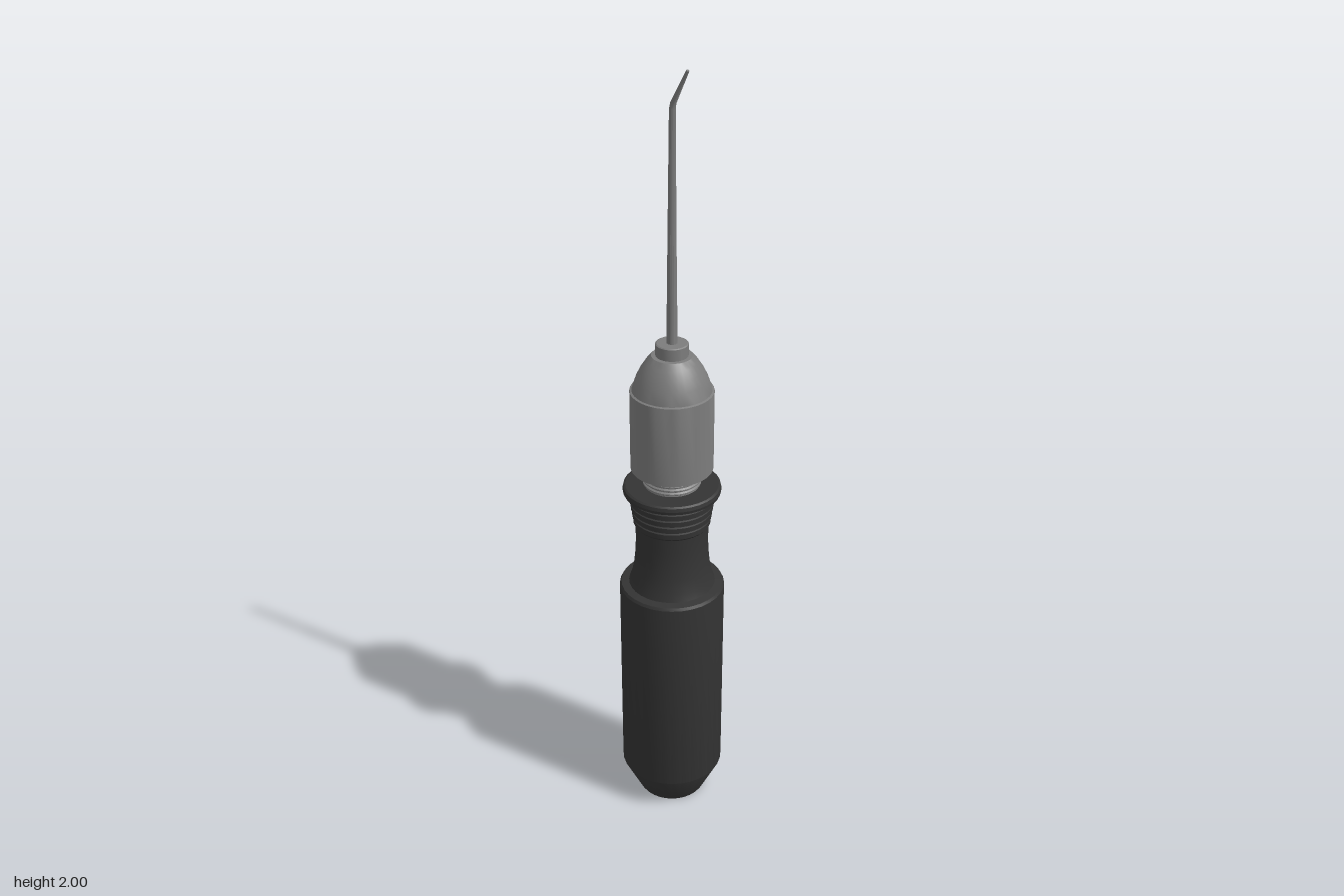
import * as THREE from 'three';
import { toCreasedNormals } from 'three/addons/utils/BufferGeometryUtils.js';

const SIDES = 32;

export function createModel() {
  const model = new THREE.Group();
  model.name = 'angledPick';

  const rubber = new THREE.MeshStandardMaterial({ color: 0x343434 });
  rubber.name = 'blackRubber';
  const steel = new THREE.MeshStandardMaterial({ color: 0x7c7c7c });
  steel.name = 'greySteel';

  // Turned part from [radius, height] pairs, listed bottom to top
  function turn(name, profile, material) {
    const points = profile.map(([r, y]) => new THREE.Vector2(r, y));
    const geometry = toCreasedNormals(new THREE.LatheGeometry(points, SIDES), 0.45);
    const mesh = new THREE.Mesh(geometry, material);
    mesh.name = name;
    model.add(mesh);
  }

  // Handle: bevelled foot, straight grip, waisted neck
  const handle = [
    [0, 0], [0.088, 0], [0.092, 0.006], [0.135, 0.095], [0.135, 0.665], [0.131, 0.672],
    [0.111, 0.675], [0.104, 0.695], [0.097, 0.73], [0.093, 0.77], [0.092, 0.81], [0.094, 0.85],
  ];
  // Finger grooves below the flange
  for (let i = 0; i < 4; i++) {
    const y = 0.855 + i * 0.02;
    const r = 0.098 + i * 0.003;
    handle.push([r, y], [r + 0.001, y + 0.014], [r - 0.004, y + 0.016], [r - 0.004, y + 0.019]);
  }
  // Flange
  handle.push([0.112, 0.936], [0.122, 0.942], [0.124, 0.95], [0.122, 0.959], [0.117, 0.962], [0, 0.962]);
  turn('handle', handle, rubber);

  // Threaded collar between handle and chuck
  const thread = [[0.07, 0.955]];
  for (let i = 0; i < 5; i++) {
    const y = 0.965 + i * 0.01;
    thread.push([0.069, y], [0.073, y + 0.003], [0.073, y + 0.006], [0.069, y + 0.009]);
  }
  turn('threadedCollar', thread, steel);

  // Chuck: straight sleeve with a rounded nose
  turn('chuck', [
    [0.06, 1.01], [0.103, 1.01], [0.103, 1.222], [0.098, 1.224], [0.088, 1.255],
    [0.076, 1.28], [0.063, 1.3], [0.05, 1.315], [0, 1.318],
  ], steel);
  turn('noseRing', [[0.04, 1.31], [0.04, 1.345], [0.037, 1.347], [0, 1.347]], steel);

  // Needle: tapering rings along a bent centre line [x, y, radius, tilt]
  const rings = [
    [0, 1.33, 0.0135, 0], [0, 1.6, 0.0105, 0], [0.001, 1.905, 0.0075, 0],
    [0.004, 1.92, 0.007, -0.28], [0.048, 1.998, 0.0035, -0.52],
  ];
  const needle = new THREE.CylinderGeometry(1, 1, 1, 16, rings.length - 1);
  const pos = needle.attributes.position;
  for (let i = 0; i < pos.count; i++) {
    const step = Math.round((pos.getY(i) + 0.5) * (rings.length - 1));
    const [x, y, r, tilt] = rings[step];
    const across = pos.getX(i) * r;
    pos.setXYZ(i, x + across * Math.cos(tilt), y + across * Math.sin(tilt), pos.getZ(i) * r);
  }
  const needleMesh = new THREE.Mesh(toCreasedNormals(needle, 0.6), steel);
  needleMesh.name = 'bentNeedle';
  model.add(needleMesh);

  return model;
}
